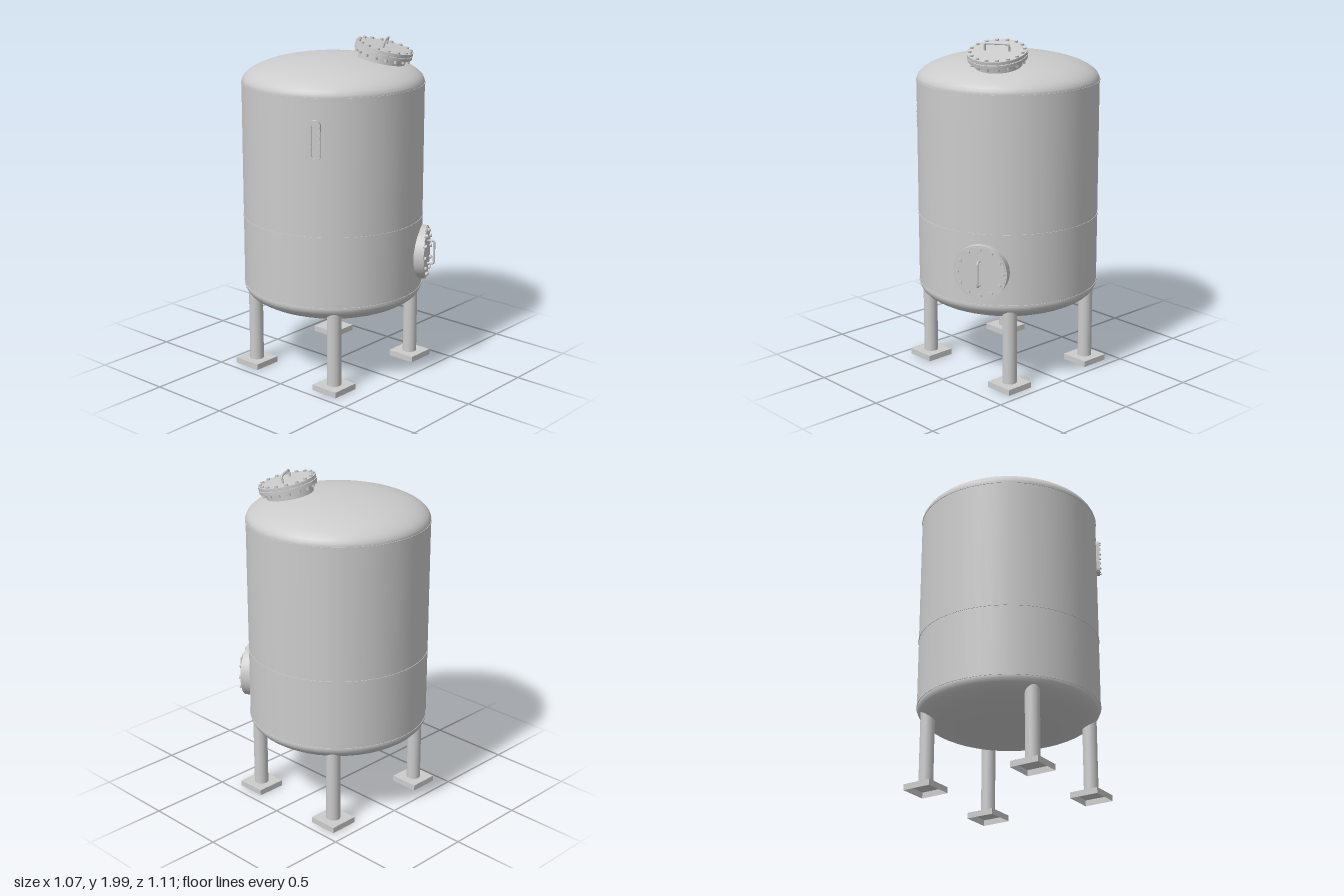
import * as THREE from 'three';

const SIDES = 48;
const grey = new THREE.MeshStandardMaterial({ color: 0xcccccc });
const sheet = new THREE.MeshStandardMaterial({ color: 0xcccccc, side: THREE.DoubleSide });

function add(parent, name, geometry, x = 0, y = 0, z = 0, material = grey) {
  const mesh = new THREE.Mesh(geometry, material);
  mesh.name = name;
  mesh.position.set(x, y, z);
  parent.add(mesh);
  return mesh;
}

function group(parent, name) {
  const g = new THREE.Group();
  g.name = name;
  parent.add(g);
  return g;
}

// Disc or pipe standing on local y, given by its lower and upper end
function disc(parent, name, r, y0, y1, sides = SIDES, x = 0, z = 0) {
  return add(parent, name, new THREE.CylinderGeometry(r, r, y1 - y0, sides), x, (y0 + y1) / 2, z);
}

function boltCircle(parent, count, radius, boltRadius, y0, y1, phase) {
  for (let i = 0; i < count; i++) {
    const a = phase + (i / count) * Math.PI * 2;
    disc(parent, 'bolt', boltRadius, y0, y1, 8, Math.sin(a) * radius, -Math.cos(a) * radius);
  }
}

// Bent-rod handle in the local xy plane
function handle(parent, length, height, r) {
  const h = length / 2, c = 0.014;
  const v = (x, y) => new THREE.Vector3(x, y, 0);
  const path = new THREE.CurvePath();
  path.add(new THREE.LineCurve3(v(-h, -0.005), v(-h, height - c)));
  path.add(new THREE.QuadraticBezierCurve3(v(-h, height - c), v(-h, height), v(-h + c, height)));
  path.add(new THREE.LineCurve3(v(-h + c, height), v(h - c, height)));
  path.add(new THREE.QuadraticBezierCurve3(v(h - c, height), v(h, height), v(h, height - c)));
  path.add(new THREE.LineCurve3(v(h, height - c), v(h, -0.005)));
  add(parent, 'handle', new THREE.TubeGeometry(path, 48, r, 8));
}

// Capsule outline, upright
function capsule(Type, w, h) {
  const r = w / 2, s = h / 2 - r;
  const p = new Type();
  p.absarc(0, s, r, 0, Math.PI, false);
  p.absarc(0, -s, r, Math.PI, Math.PI * 2, false);
  p.closePath();
  return p;
}

export function createModel() {
  const model = new THREE.Group();
  model.name = 'storageTank';
  const axisZ = -0.025, R = 0.533, low = 0.515, high = 1.74, rise = 0.155;
  const azimuth = THREE.MathUtils.degToRad(30.5);

  // Shell with domed ends
  const profile = [];
  for (let i = 0; i <= 14; i++) {
    const a = (i / 14) * Math.PI / 2;
    profile.push(new THREE.Vector2(R * Math.sin(a), low - rise * Math.cos(a)));
  }
  for (let i = 14; i >= 0; i--) {
    const a = (i / 14) * Math.PI / 2;
    profile.push(new THREE.Vector2(R * Math.sin(a), high + rise * Math.cos(a)));
  }
  profile[0].x = profile[profile.length - 1].x = 0;
  add(model, 'shell', new THREE.LatheGeometry(profile, SIDES), 0, 0, axisZ);

  // Weld seams
  for (const y of [0.52, 0.94, 1.735]) disc(model, 'seam', R + 0.003, y - 0.005, y + 0.005, SIDES, 0, axisZ);

  // Legs on square feet, open underneath
  for (const x of [-0.354, 0.354]) for (const z of [-0.335, 0.293]) {
    const leg = group(model, 'leg');
    leg.position.set(x, 0, z);
    disc(leg, 'post', 0.042, 0.03, 0.5, 24);
    const walls = new THREE.CylinderGeometry(0.125, 0.125, 0.035, 4, 1, true).rotateY(Math.PI / 4).toNonIndexed();
    walls.computeVertexNormals();
    add(leg, 'footSides', walls, 0, 0.0175, 0, sheet);
    add(leg, 'footTop', new THREE.PlaneGeometry(0.177, 0.177).rotateX(-Math.PI / 2), 0, 0.035, 0, sheet);
  }

  // Top manway, tilted to follow the dome
  const top = group(model, 'topManway');
  top.position.set(0.172, 1.946, 0.22);
  top.rotation.set(THREE.MathUtils.degToRad(13.5), azimuth, 0, 'YXZ');
  disc(top, 'lid', 0.17, -0.018, 0);
  disc(top, 'gasket', 0.16, -0.023, -0.017);
  disc(top, 'flange', 0.17, -0.041, -0.022);
  disc(top, 'neck', 0.138, -0.13, -0.04);
  boltCircle(top, 16, 0.154, 0.011, -0.06, 0.01, 0.106);
  handle(top, 0.142, 0.042, 0.007);

  // Side manway; local y points out of the shell
  const side = group(model, 'sideManway');
  side.position.set(Math.sin(azimuth) * 0.565, 0.725, axisZ + Math.cos(azimuth) * 0.565);
  side.rotation.set(Math.PI / 2, azimuth, 0, 'YXZ');
  disc(side, 'neck', 0.16, -0.13, 0);
  disc(side, 'cover', 0.153, -0.01, 0.004);
  boltCircle(side, 12, 0.135, 0.012, -0.005, 0.016, 0);
  const grip = group(side, 'grip');
  grip.rotation.y = Math.PI / 2;
  handle(grip, 0.142, 0.045, 0.007);

  // Sight glass; local z points out of the shell
  const sight = group(model, 'sightGlass');
  const sa = azimuth - Math.PI / 2;
  sight.position.set(Math.sin(sa) * 0.522, 1.502, axisZ + Math.cos(sa) * 0.522);
  sight.rotation.y = sa;
  const w = 0.068, h = 0.232;
  const frame = capsule(THREE.Shape, w, h);
  frame.holes.push(capsule(THREE.Path, 0.03, 0.194));
  add(sight, 'frame', new THREE.ExtrudeGeometry(frame, { depth: 0.03, bevelEnabled: false, curveSegments: 12 }));
  add(sight, 'glass', new THREE.ExtrudeGeometry(capsule(THREE.Shape, 0.034, 0.198),
    { depth: 0.018, bevelEnabled: false, curveSegments: 12 }));
  const boltAt = (x, y) =>
    add(sight, 'bolt', new THREE.CylinderGeometry(0.006, 0.006, 0.012, 8).rotateX(Math.PI / 2), x, y, 0.032);
  for (const s of [-1, 1]) {
    for (let i = 0; i < 6; i++) boltAt(s * 0.0245, -0.08 + i * 0.032);
    boltAt(0, s * 0.1065);
  }
  return model;
}
